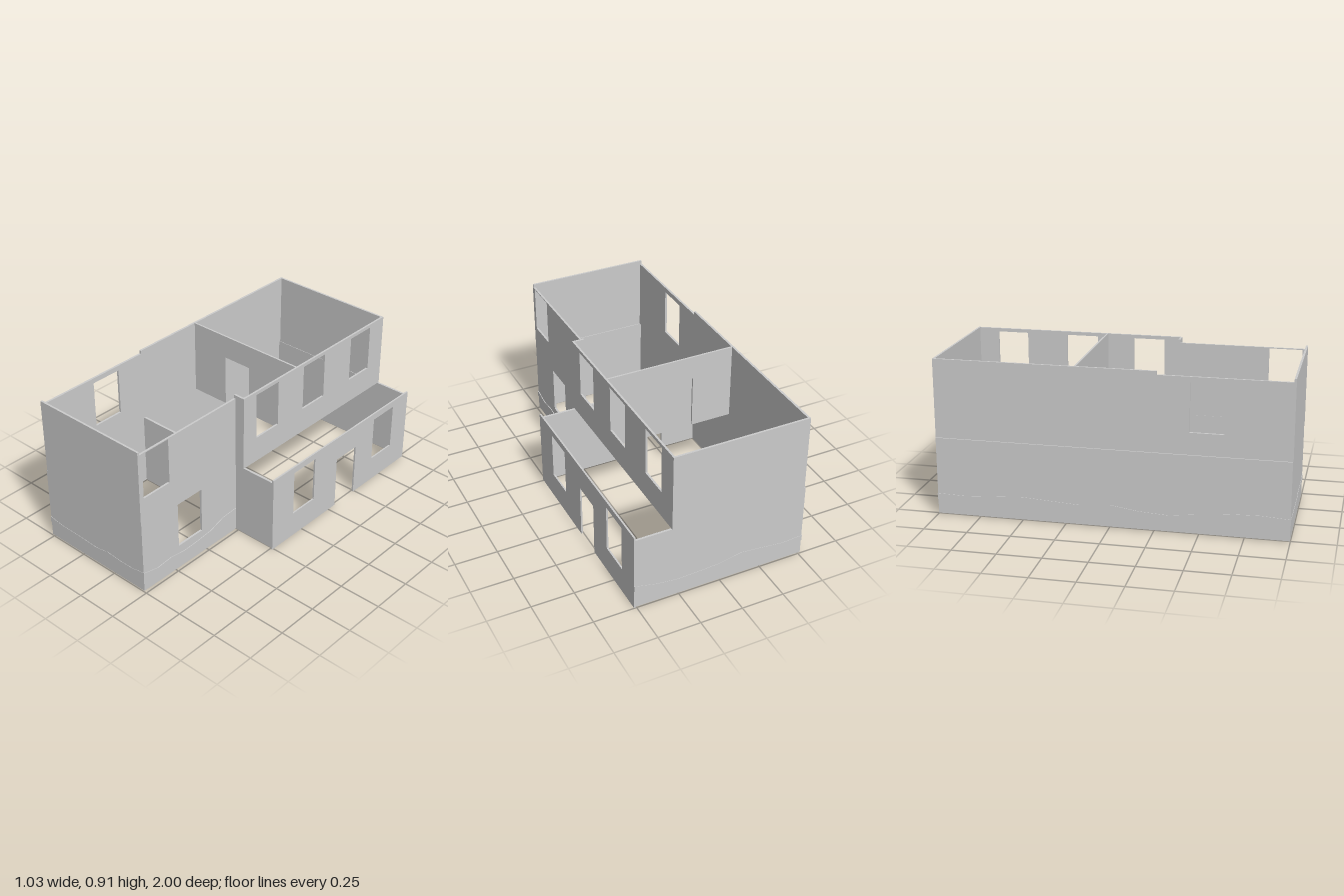
import * as THREE from 'three';

const material = new THREE.MeshStandardMaterial({ color: 0xcccccc, side: THREE.DoubleSide });

// Extrude an outline in (u, y): along z for axis 'x', along x for axis 'z'.
// 'from' and 'to' are the limits of its thickness.
function panel(group, name, shape, axis, from, to) {
  const geometry = new THREE.ExtrudeGeometry(shape, {
    depth: to - from, bevelEnabled: false, curveSegments: 16,
  });
  const mesh = new THREE.Mesh(geometry, material);
  mesh.name = name;
  if (axis === 'x') {
    mesh.position.z = from;
  } else {
    mesh.rotation.y = -Math.PI / 2;
    mesh.position.x = to;
  }
  group.add(mesh);
}

// Wall outline with window holes [u0, u1, y0, y1] and an optional doorway
// { u0, u1, top, rise } cut into its lower edge.
function wallShape(u0, u1, y0, y1, windows = [], door = null) {
  const s = new THREE.Shape();
  s.moveTo(u0, y0);
  if (door) {
    const mid = (door.u0 + door.u1) / 2;
    s.lineTo(door.u0, y0);
    s.lineTo(door.u0, door.top);
    if (door.rise) s.absellipse(mid, door.top, (door.u1 - door.u0) / 2, door.rise, Math.PI, 0, true);
    s.lineTo(door.u1, door.top);
    s.lineTo(door.u1, y0);
  }
  s.lineTo(u1, y0);
  s.lineTo(u1, y1);
  s.lineTo(u0, y1);
  s.closePath();
  for (const [a, b, c, d] of windows) {
    const h = new THREE.Path();
    h.moveTo(a, c);
    h.lineTo(a, d);
    h.lineTo(b, d);
    h.lineTo(b, c);
    h.closePath();
    s.holes.push(h);
  }
  return s;
}

// Wavy strip through evenly spaced upper edge heights
function bandShape(u0, u1, heights, width = 0.035) {
  const top = heights.map((y, i) =>
    new THREE.Vector2(u0 + (u1 - u0) * i / (heights.length - 1), y));
  const bottom = top.map((p) => new THREE.Vector2(p.x, p.y - width)).reverse();
  return new THREE.Shape([...top, ...bottom]);
}

export function createModel() {
  const model = new THREE.Group();
  model.name = 'house';
  const lower = new THREE.Group();
  lower.name = 'lowerStorey';
  const upper = new THREE.Group();
  upper.name = 'upperStorey';
  const bands = new THREE.Group();
  bands.name = 'wavyBands';
  model.add(lower, upper, bands);

  const base = 0.006, mid = 0.455, top = 0.91, low = 0.89;

  // Lower storey
  panel(lower, 'lowerFrontWall', wallShape(-0.513, 0.235, base, mid), 'x', 0.983, 0.998);
  panel(lower, 'lowerBackWall', wallShape(-0.513, 0.513, base, mid), 'x', -0.998, -0.985);
  panel(lower, 'lowerLongWall', wallShape(-0.998, 0.998, base, mid), 'z', -0.513, -0.497);
  panel(lower, 'lowerFrontRoomWall',
    wallShape(0.25, 0.998, base, mid, [[0.54, 0.725, 0.155, 0.435]]), 'z', 0.222, 0.235);
  panel(lower, 'archWall',
    wallShape(-0.5, 0.51, base, mid, [], { u0: -0.277, u1: 0, top: 0.31, rise: 0.06 }),
    'x', 0.243, 0.257);
  panel(lower, 'entranceWall',
    wallShape(-0.998, 0.26, 0, 0.475,
      [[-0.85, -0.66, 0.155, 0.435], [-0.105, 0.08, 0.155, 0.435]],
      { u0: -0.49, u1: -0.31, top: 0.325 }), 'z', 0.504, 0.514);

  // Upper storey, open at the top and set in slightly at the sides
  panel(upper, 'upperFrontWall', wallShape(-0.505, 0.235, mid, top), 'x', 0.988, 1);
  panel(upper, 'upperBackWall', wallShape(-0.505, 0.295, mid, top), 'x', -1, -0.988);
  panel(upper, 'upperLongWallFront',
    wallShape(0.26, 0.99, mid, low, [[0.44, 0.63, 0.58, 0.86]]), 'z', -0.505, -0.492);
  panel(upper, 'upperLongWallBack', wallShape(-1, 0.26, mid, top), 'z', -0.505, -0.492);
  panel(upper, 'upperFrontRoomWall',
    wallShape(0.25, 0.99, mid, low, [[0.78, 0.97, 0.61, 0.885]]), 'z', 0.223, 0.235);
  panel(upper, 'upperWindowWall',
    wallShape(-1, 0.26, mid, top,
      [[-0.87, -0.685], [-0.44, -0.25], [-0.03, 0.155]].map(([a, b]) => [a, b, 0.61, 0.89])),
    'z', 0.283, 0.295);
  panel(upper, 'cornerReturn', wallShape(0.223, 0.295, mid, top), 'x', 0.247, 0.26);
  panel(upper, 'partition',
    wallShape(-0.495, 0.283, mid, top, [], { u0: -0.245, u1: -0.06, top: 0.77 }),
    'x', -0.198, -0.187);

  // Shallow wavy bands around the base
  panel(bands, 'frontBand',
    bandShape(-0.516, 0.238, [0.132, 0.117, 0.116, 0.114, 0.108, 0.125, 0.117, 0.117, 0.133]),
    'x', 0.997, 1);
  panel(bands, 'backBand',
    bandShape(-0.516, 0.513, [0.125, 0.117, 0.132, 0.145, 0.118, 0.11, 0.105, 0.12, 0.15]),
    'x', -1, -0.997);
  panel(bands, 'longSideBand',
    bandShape(-1, 1, [0.125, 0.12, 0.13, 0.14, 0.13, 0.12, 0.135, 0.11, 0.1, 0.12, 0.135, 0.14, 0.13]),
    'z', -0.516, -0.512);
  panel(bands, 'frontRoomBand',
    bandShape(0.26, 1, [0.155, 0.15, 0.115, 0.105, 0.1, 0.115, 0.105, 0.13]),
    'z', 0.234, 0.239);

  return model;
}
